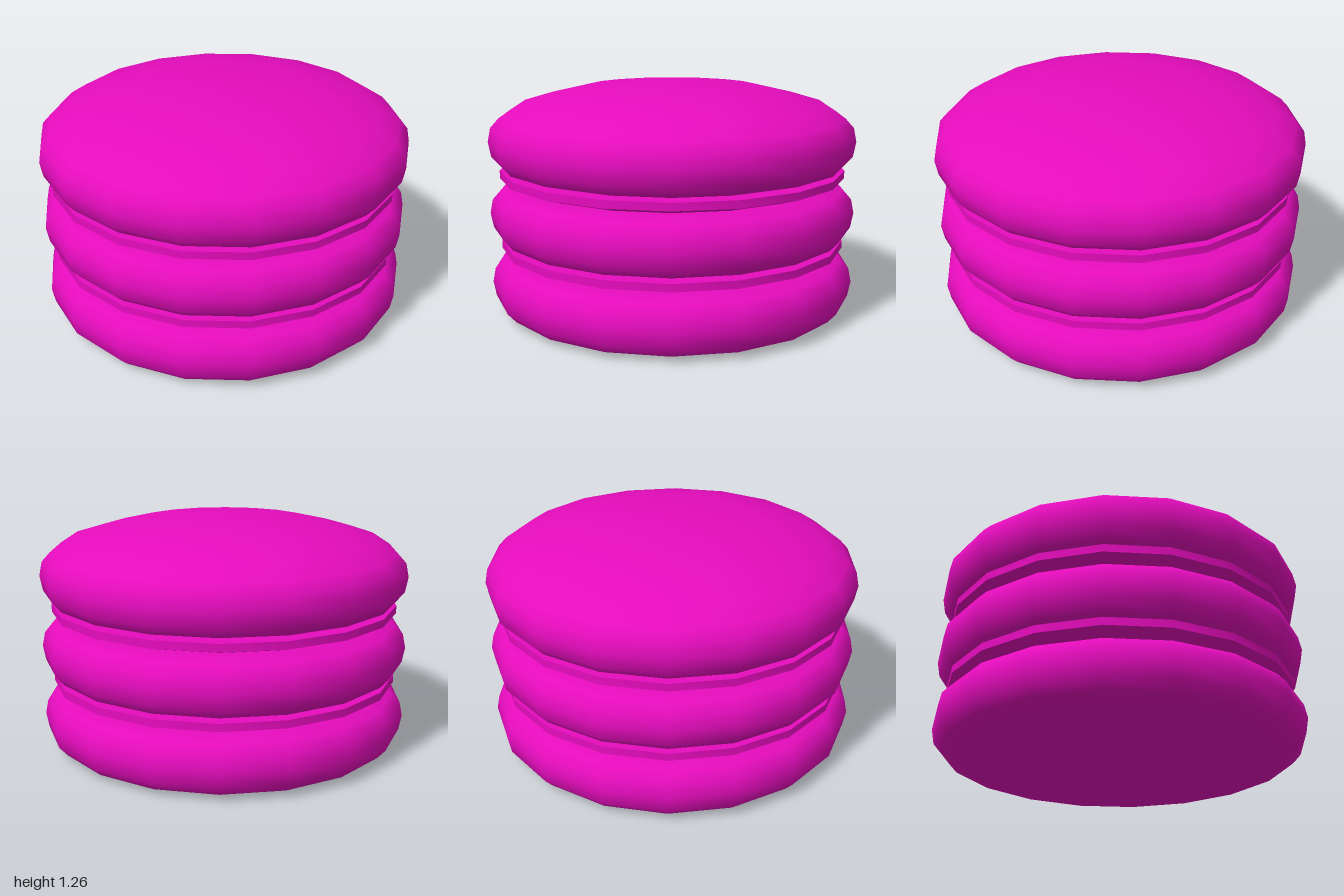
import * as THREE from 'three';
import { mergeVertices, toCreasedNormals } from 'three/addons/utils/BufferGeometryUtils.js';

const SIDES = 18;

// Closed solid of revolution with a corner on the x axis and no seam
function turned(profile) {
  const points = profile.map(([r, y]) => new THREE.Vector2(r, y));
  const lathe = new THREE.LatheGeometry(points, SIDES, Math.PI / 2);
  lathe.deleteAttribute('uv');
  lathe.deleteAttribute('normal');
  const geometry = mergeVertices(lathe, 1e-4);
  geometry.computeVertexNormals();
  return geometry;
}

export function createModel() {
  const group = new THREE.Group();
  const magenta = new THREE.MeshStandardMaterial({ color: 0xe60cbd });
  magenta.name = 'magenta';

  function add(name, geometry, y) {
    const mesh = new THREE.Mesh(geometry, magenta);
    mesh.name = name;
    mesh.position.y = y;
    group.add(mesh);
  }

  // Rounded lower edge shared by all three buns
  const lowerEdge = [[0, 0], [0.84, 0.003], [0.94, 0.03], [0.985, 0.08], [1, 0.16]];

  // Flat buns
  const flatBun = turned([...lowerEdge,
    [0.985, 0.235], [0.94, 0.285], [0.84, 0.313], [0, 0.316]]);
  add('bottomBun', flatBun, 0);
  add('middleBun', flatBun, 0.388);

  // Domed top bun
  const topBun = turned([...lowerEdge,
    [0.985, 0.235], [0.94, 0.285], [0.84, 0.35], [0.67, 0.4], [0.47, 0.446], [0, 0.48]]);
  add('topBun', topBun, 0.777);

  // Thin fillings with a bevelled underside and crisp edges
  const filling = toCreasedNormals(
    turned([[0, 0], [0.82, 0], [0.943, 0.037], [0.943, 0.078], [0, 0.078]]), 0.6);
  add('lowerFilling', filling, 0.313);
  add('upperFilling', filling, 0.702);

  return group;
}
